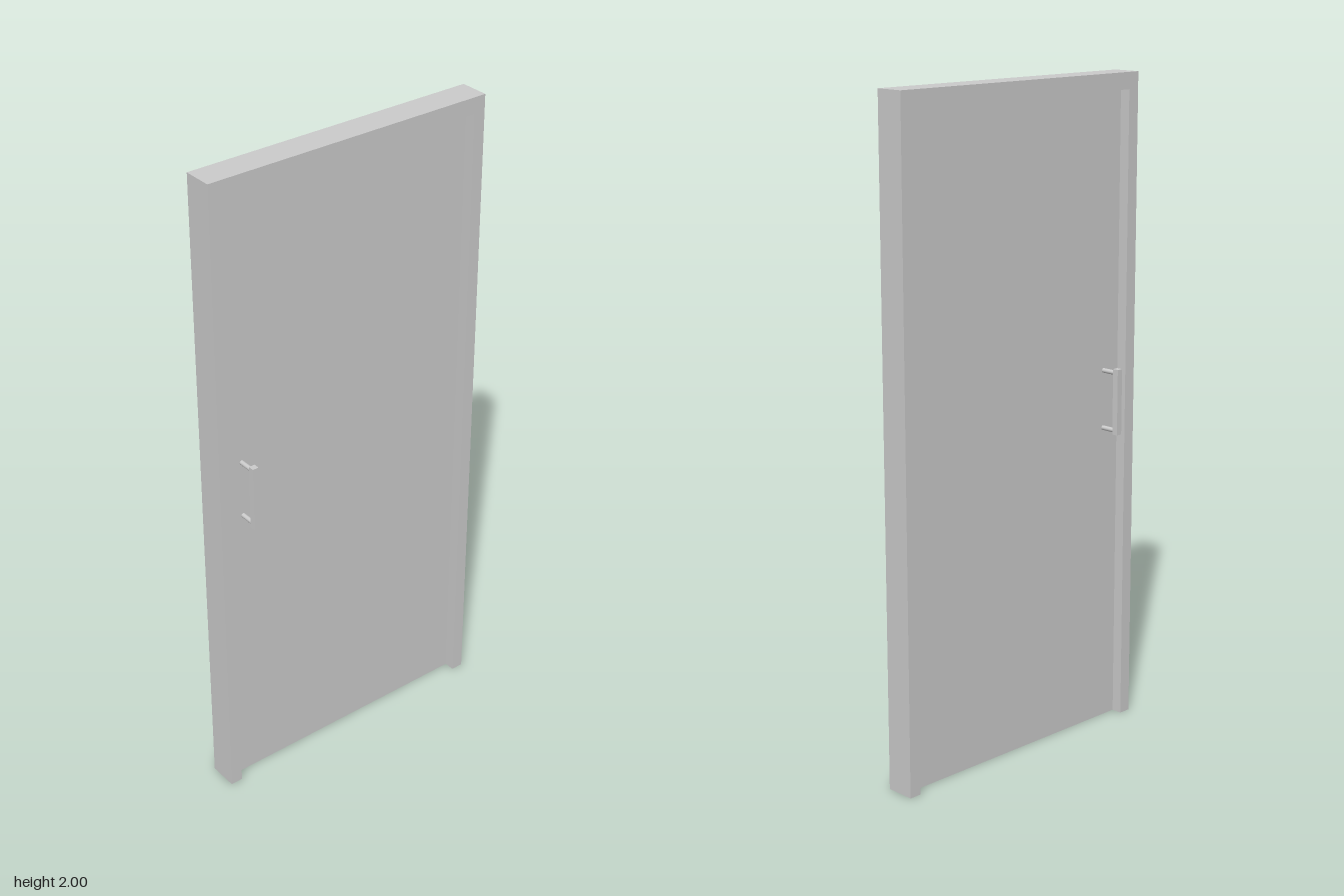
import * as THREE from 'three';

const material = new THREE.MeshStandardMaterial({ color: 0xcccccc });

function add(parent, name, geometry, x = 0, y = 0, z = 0) {
  const mesh = new THREE.Mesh(geometry, material);
  mesh.name = name;
  mesh.position.set(x, y, z);
  parent.add(mesh);
  return mesh;
}

// Pull handle: square bar on two round standoffs; side is +1 (front) or -1 (back)
function createHandle(side, panelFace) {
  const handle = new THREE.Group();
  handle.name = side > 0 ? 'frontHandle' : 'backHandle';
  const barZ = 0.069, barSize = 0.019, bottom = 0.926, top = 1.128;
  add(handle, 'handleBar', new THREE.BoxGeometry(barSize, top - bottom, barSize),
    0, (top + bottom) / 2, side * barZ);
  const length = barZ - panelFace;
  for (const y of [bottom + 0.011, top - 0.013]) {
    const standoff = add(handle, 'handleStandoff',
      new THREE.CylinderGeometry(0.007, 0.007, length, 16), 0, y, side * (panelFace + length / 2));
    standoff.rotation.x = Math.PI / 2;
  }
  handle.position.x = -0.364;
  return handle;
}

export function createModel() {
  const door = new THREE.Group();
  door.name = 'door';
  const halfWidth = 0.463, halfOpening = 0.425, openingTop = 1.95;
  const depth = 0.09, panelThickness = 0.024;

  // Door frame: two jambs and a head in one extruded outline, open at the floor
  const outline = new THREE.Shape([
    [-halfWidth, 0], [-halfOpening, 0], [-halfOpening, openingTop], [halfOpening, openingTop],
    [halfOpening, 0], [halfWidth, 0], [halfWidth, 2], [-halfWidth, 2],
  ].map(([x, y]) => new THREE.Vector2(x, y)));
  const frame = new THREE.ExtrudeGeometry(outline, { depth, bevelEnabled: false });
  add(door, 'doorFrame', frame, 0, 0, -depth / 2);

  // Thin leaf recessed on both sides
  add(door, 'doorPanel', new THREE.BoxGeometry(halfOpening * 2, openingTop, panelThickness),
    0, openingTop / 2, 0);

  for (const side of [1, -1]) door.add(createHandle(side, panelThickness / 2));
  return door;
}
